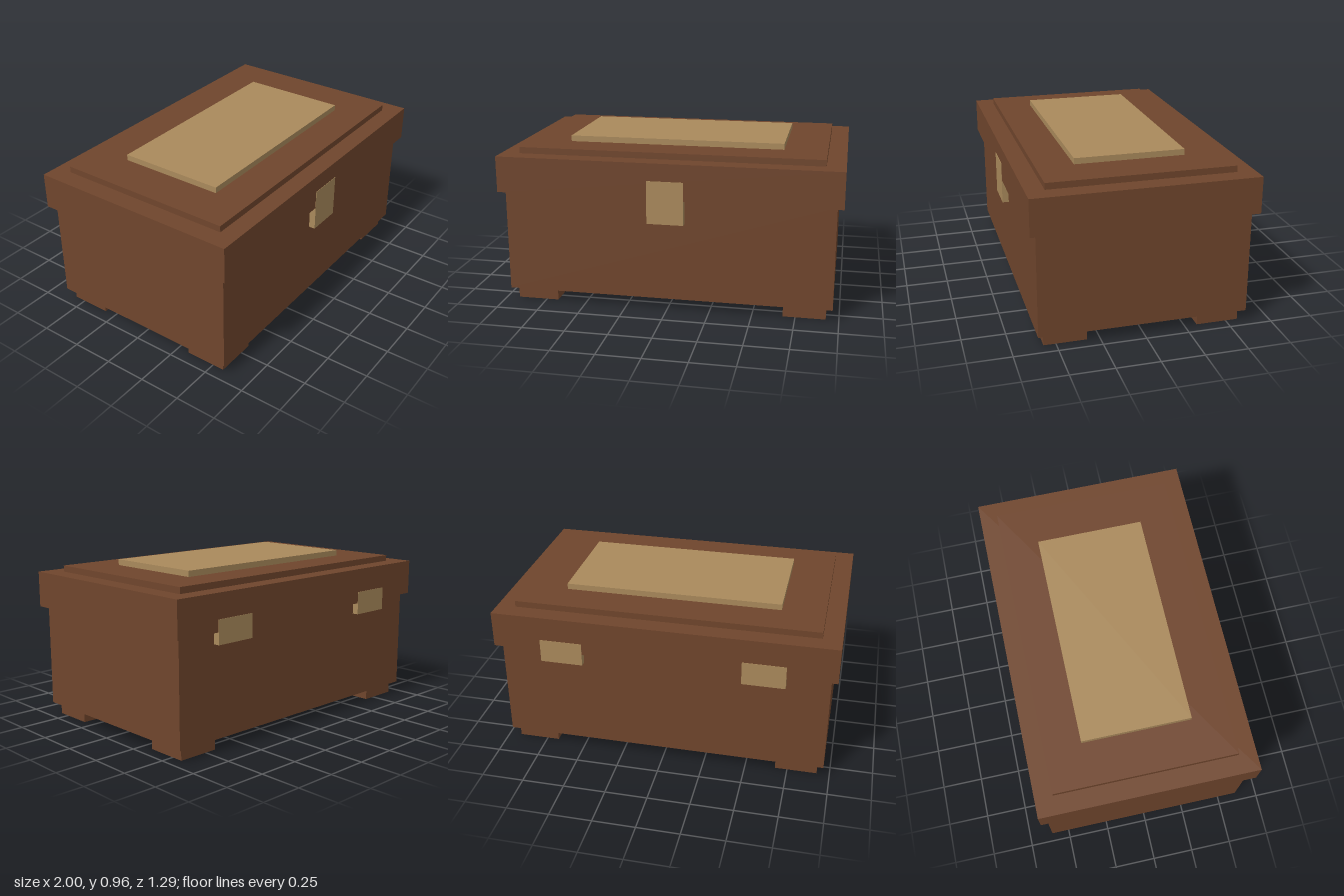
import * as THREE from 'three';

export function createModel() {
  const wood = new THREE.MeshStandardMaterial({ color: 0x6f452c });
  wood.name = 'brown wood';
  const brass = new THREE.MeshStandardMaterial({ color: 0xa9895b });
  brass.name = 'pale brass';

  const chest = new THREE.Group();
  chest.name = 'chest';

  // Box given by its [min, max] range on each axis
  function addBox(name, material, [x0, x1], [y0, y1], [z0, z1]) {
    const mesh = new THREE.Mesh(new THREE.BoxGeometry(x1 - x0, y1 - y0, z1 - z0), material);
    mesh.position.set((x0 + x1) / 2, (y0 + y1) / 2, (z0 + z1) / 2);
    mesh.name = name;
    chest.add(mesh);
  }
  const span = (half, centre = 0) => [centre - half, centre + half];

  // Body and stepped lid
  addBox('body', wood, span(0.963), [0.072, 0.68], span(0.605));
  addBox('lid', wood, span(1), [0.68, 0.893], span(0.641));
  addBox('lidPanel', wood, span(0.89), [0.893, 0.93], span(0.535));
  addBox('lidInlay', brass, span(0.64), [0.93, 0.965], span(0.32));

  // Four corner feet
  for (const sx of [-1, 1]) {
    for (const sz of [-1, 1]) {
      addBox('foot', wood, span(0.1235, sx * 0.802), [0, 0.072], span(0.1235, sz * 0.447));
    }
  }

  // Front latch and two back hinges, just proud of the lid
  addBox('latch', brass, span(0.107), [0.538, 0.79], [0.605, 0.643]);
  for (const sx of [-1, 1]) {
    addBox('hinge', brass, span(0.125, sx * 0.59), [0.61, 0.75], [-0.643, -0.605]);
  }

  return chest;
}
